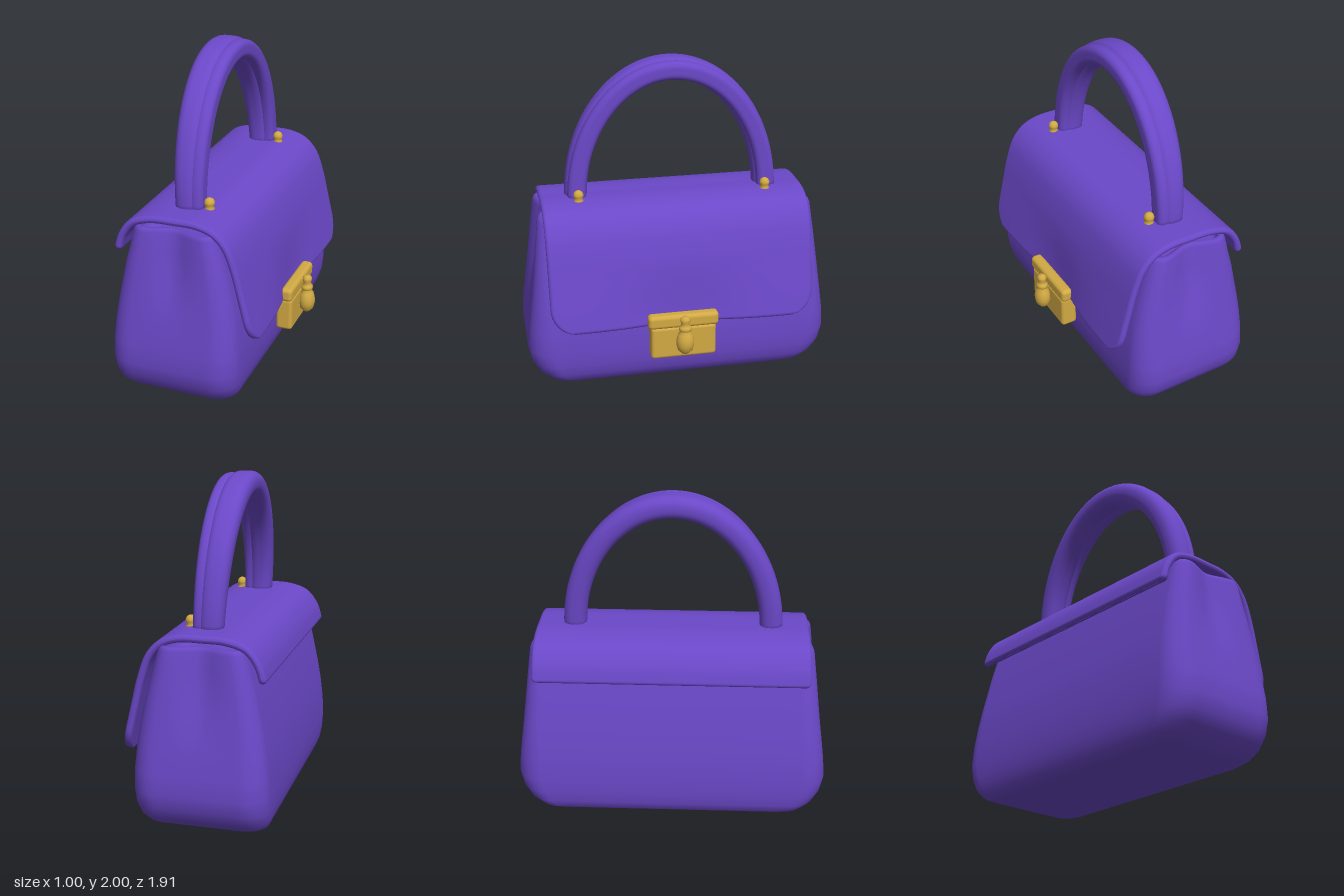
import * as THREE from 'three';
import { RoundedBoxGeometry } from 'three/addons/geometries/RoundedBoxGeometry.js';

const leather = new THREE.MeshStandardMaterial({ color: 0x6b48c8 });
leather.name = 'purple leather';
const brass = new THREE.MeshStandardMaterial({ color: 0xd2aa44 });
brass.name = 'brass';

// Rounded rectangle outline as [a, b] pairs, with subdivided straight edges
function roundedRect(ha, hb, r, edge = 12, arc = 6) {
  const pts = [];
  const corners = [[1, 1], [-1, 1], [-1, -1], [1, -1]];
  corners.forEach(([sa, sb], k) => {
    const ca = sa * (ha - r), cb = sb * (hb - r);
    for (let i = 0; i <= arc; i++) {
      const t = (k + i / arc) * Math.PI / 2;
      pts.push([ca + r * Math.cos(t), cb + r * Math.sin(t)]);
    }
    const [na, nb] = corners[(k + 1) % 4];
    const last = pts[pts.length - 1];
    const t = (k + 1) * Math.PI / 2;
    const next = [na * (ha - r) + r * Math.cos(t), nb * (hb - r) + r * Math.sin(t)];
    for (let i = 1; i < edge; i++) {
      pts.push([0, 1].map(d => last[d] + (next[d] - last[d]) * i / edge));
    }
  });
  return pts;
}

// Skin over closed rings of Vector3, facing outwards
function loft(rings, caps = true) {
  const n = rings[0].length, pts = rings.flat(), tris = [];
  for (let i = 0; i < rings.length - 1; i++) {
    for (let j = 0; j < n; j++) {
      const a = i * n + j, b = i * n + (j + 1) % n;
      tris.push([a, b, a + n], [b, b + n, a + n]);
    }
  }
  if (caps) {
    [0, rings.length - 1].forEach(i => {
      const c = new THREE.Vector3();
      rings[i].forEach(p => c.addScaledVector(p, 1 / n));
      pts.push(c);
      for (let j = 0; j < n; j++) {
        const a = i * n + j, b = i * n + (j + 1) % n;
        tris.push(i === 0 ? [b, a, pts.length - 1] : [a, b, pts.length - 1]);
      }
    });
  }
  let volume = 0;
  const cross = new THREE.Vector3();
  tris.forEach(([a, b, c]) => { volume += pts[a].dot(cross.crossVectors(pts[b], pts[c])); });
  if (volume < 0) tris.forEach(t => t.reverse());
  const geo = new THREE.BufferGeometry().setFromPoints(pts);
  geo.setIndex(tris.flat());
  geo.computeVertexNormals();
  return geo;
}

function add(parent, name, geo, mat, x = 0, y = 0, z = 0) {
  const mesh = new THREE.Mesh(geo, mat);
  mesh.name = name;
  mesh.position.set(x, y, z);
  parent.add(mesh);
  return mesh;
}

// Tapered body with soft corners and pinched ends
function bodyGeometry() {
  // y, back x, front x, half length, corner radius
  const rows = [
    [0.005, -0.40, 0.18, 0.70, 0.10], [0.012, -0.44, 0.22, 0.77, 0.11],
    [0.04, -0.475, 0.255, 0.84, 0.13], [0.09, -0.492, 0.28, 0.895, 0.14],
    [0.16, -0.50, 0.296, 0.935, 0.15], [0.25, -0.502, 0.30, 0.955, 0.15],
    [0.37, -0.495, 0.298, 0.945, 0.14], [0.50, -0.48, 0.285, 0.928, 0.13],
    [0.62, -0.46, 0.268, 0.912, 0.12], [0.74, -0.435, 0.243, 0.898, 0.11],
    [0.86, -0.41, 0.215, 0.885, 0.10], [0.97, -0.38, 0.185, 0.873, 0.09],
    [1.07, -0.355, 0.158, 0.862, 0.08], [1.095, -0.345, 0.148, 0.853, 0.08],
    [1.10, -0.33, 0.135, 0.838, 0.07], [1.085, -0.315, 0.12, 0.82, 0.06],
    [1.02, -0.31, 0.115, 0.81, 0.06],
  ];
  return loft(rows.map(([y, x0, x1, hz, r]) => {
    const mid = (x0 + x1) / 2;
    const dent = 0.05 * THREE.MathUtils.smoothstep(y, 0.5, 0.95);
    return roundedRect((x1 - x0) / 2, hz, r, 16, 8).map(([a, b]) => {
      const pinch = dent * Math.exp(-((a / 0.11) ** 2));
      return new THREE.Vector3(mid + a, y, b - Math.sign(b) * (Math.abs(b) > 0.7 ? pinch : 0));
    });
  }));
}

// Flap folded over the top, with rounded front corners
function flapGeometry() {
  const curve = new THREE.CatmullRomCurve3([
    [-0.46, 0.915], [-0.425, 1.02], [-0.36, 1.10], [-0.25, 1.138], [-0.10, 1.144], [0.04, 1.14],
    [0.14, 1.105], [0.21, 1.03], [0.26, 0.90], [0.30, 0.74], [0.34, 0.57], [0.372, 0.425],
  ].map(([x, y]) => new THREE.Vector3(x, y, 0)));
  const length = curve.getLength(), steps = 80, rings = [];
  const round = (s, r) => { const k = Math.min(s / r, 1); return Math.sqrt(k * (2 - k)); };
  for (let i = 0; i <= steps; i++) {
    const t = 0.5 - 0.5 * Math.cos(Math.PI * i / steps);
    const p = curve.getPointAt(t), tan = curve.getTangentAt(t);
    const back = t * length, front = (1 - t) * length;
    const half = 0.835 - 0.018 * t - 0.16 * (1 - round(front, 0.16)) - 0.03 * (1 - round(back, 0.03));
    const thick = 0.0005 + 0.022 * round(Math.min(back, front), 0.022);
    const press = 0.045 * THREE.MathUtils.smoothstep(t, 0.7, 1);
    rings.push(roundedRect(half, thick, thick * 0.98, 24, 4).map(([z, d]) => new THREE.Vector3(
      p.x - tan.y * d - press * Math.exp(-((z / 0.32) ** 2)), p.y + tan.x * d, z)));
  }
  return loft(rings, false);
}

// Arched strip of the handle: x centre and half width at foot and crown
function handleGeometry(footX, crownX, footW, crownW, depth) {
  const rings = [], steps = 56;
  for (let i = 0; i <= steps; i++) {
    const a = Math.PI * i / steps, s = Math.sin(a), c = Math.cos(a);
    const x = THREE.MathUtils.lerp(footX, crownX, s), w = THREE.MathUtils.lerp(footW, crownW, s);
    const normal = new THREE.Vector2(c / 0.6, s / 0.79).normalize();
    rings.push(roundedRect(w, depth, Math.min(w, depth) * 0.85, 3, 6).map(([u, v]) =>
      new THREE.Vector3(x + u, 1.14 + 0.79 * s + normal.y * v, 0.6 * c + normal.x * v)));
  }
  return loft(rings);
}

function lathe(points) {
  return new THREE.LatheGeometry(points.map(([r, y]) => new THREE.Vector2(r, y)), 24);
}

export function createModel() {
  const bag = new THREE.Group();
  bag.name = 'handbag';
  add(bag, 'body', bodyGeometry(), leather);
  add(bag, 'flap', flapGeometry(), leather);

  const handle = new THREE.Group();
  handle.name = 'handle';
  bag.add(handle);
  add(handle, 'handleMain', handleGeometry(-0.10, -0.135, 0.07, 0.085, 0.07), leather);
  add(handle, 'handleFacing', handleGeometry(-0.037, -0.045, 0.04, 0.045, 0.057), leather);

  // Studs at the handle feet
  for (const z of [0.595, -0.578]) {
    add(bag, 'stud', lathe([[0, 0], [0.028, 0], [0.03, 0.012], [0.022, 0.022], [0.03, 0.036],
      [0.031, 0.05], [0.024, 0.066], [0.012, 0.074], [0, 0.076]]), brass, 0.03, 1.152, z);
  }

  // Clasp with a turning knob
  const clasp = new THREE.Group();
  clasp.name = 'clasp';
  clasp.position.z = 0.012;
  bag.add(clasp);
  add(clasp, 'claspPlate', new RoundedBoxGeometry(0.105, 0.215, 0.408, 3, 0.022), brass, 0.36, 0.327, 0);
  add(clasp, 'claspBar', new RoundedBoxGeometry(0.075, 0.088, 0.44, 3, 0.025), brass, 0.378, 0.468, 0);
  add(clasp, 'knobPin', new THREE.CylinderGeometry(0.022, 0.022, 0.08, 16).rotateZ(Math.PI / 2),
    brass, 0.41, 0.36, 0);
  const knob = add(clasp, 'knob', lathe([[0, -0.088], [0.025, -0.083], [0.046, -0.06], [0.055, -0.025],
    [0.054, 0.01], [0.044, 0.045], [0.03, 0.065], [0.037, 0.072], [0.04, 0.084], [0.036, 0.096],
    [0.026, 0.102], [0.026, 0.12], [0.031, 0.135], [0.03, 0.15], [0.018, 0.161], [0, 0.164]]),
  brass, 0.447, 0.357, 0);
  knob.scale.x = 0.92;
  return bag;
}
